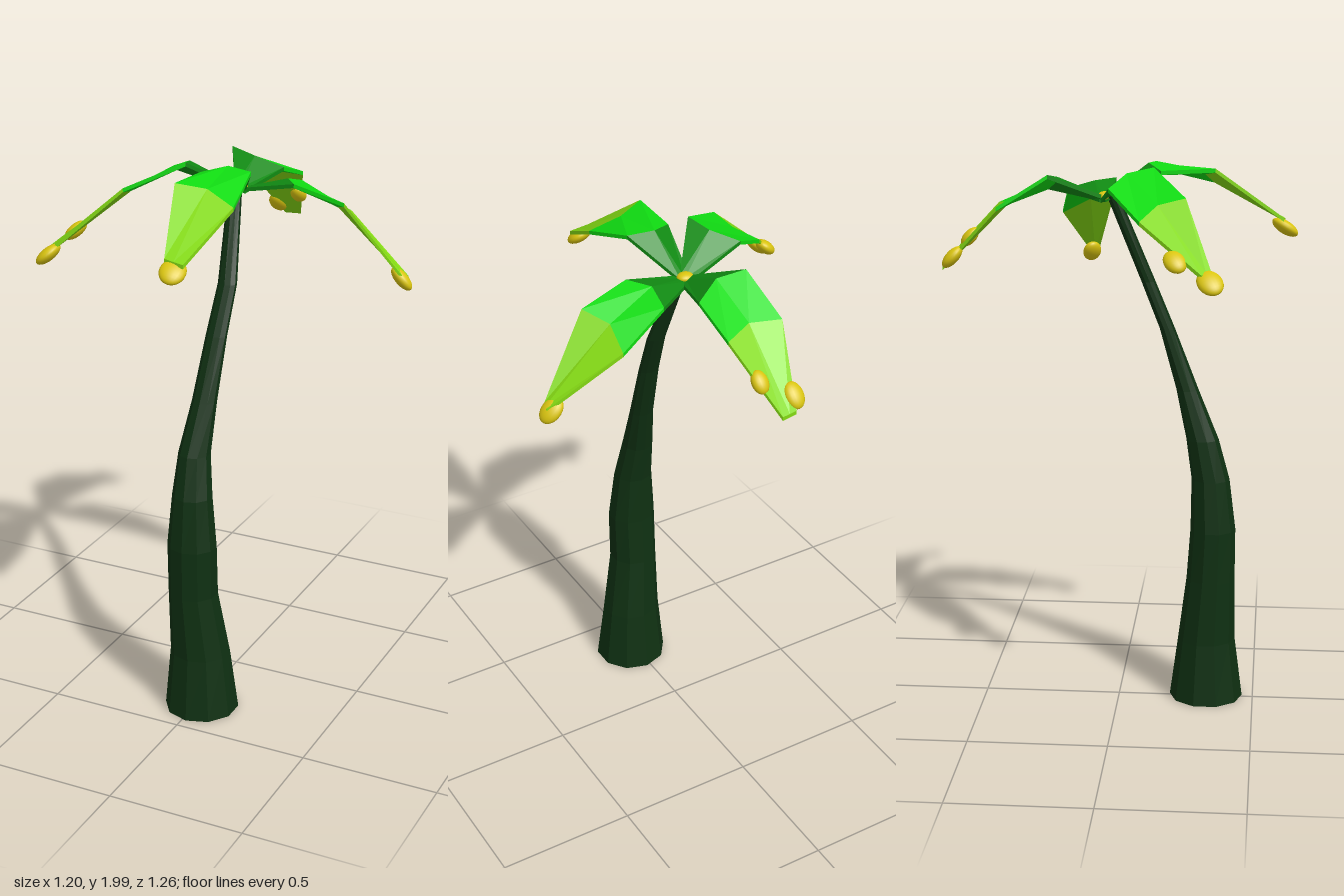
import * as THREE from 'three';

const paint = (name, color, flatShading = true) => {
  const m = new THREE.MeshStandardMaterial({ color, flatShading });
  m.name = name;
  return m;
};
const V = (a) => new THREE.Vector3(...a);
const HUB = V([-0.01, 1.87, -0.05]);

// Trunk rings from the ground up: y, x min, x max, z min, z max
const RINGS = [
  [0, -0.12, 0.15, 0.19, 0.46],
  [0.23, -0.1, 0.12, 0.22, 0.43],
  [0.47, -0.1, 0.08, 0.25, 0.427],
  [0.66, -0.1, 0.08, 0.263, 0.427],
  [0.85, -0.085, 0.06, 0.265, 0.403],
  [1.0, -0.075, 0.04, 0.245, 0.362],
  [1.18, -0.05, 0.04, 0.207, 0.287],
  [1.4, -0.033, 0.045, 0.145, 0.2],
  [1.57, -0.02, 0.05, 0.077, 0.128],
  [1.88, -0.04, 0.01, -0.045, 0.0],
];

// Each leaf: [left, right] edge points of two folds and the tip, looking out from the hub
const LEAVES = [
  { name: 'frontLeaf', rows: [
    [[0.113, 1.985, 0.123], [-0.063, 1.97, 0.15]],
    [[0.147, 1.92, 0.33], [-0.063, 1.98, 0.34]],
    [[0.09, 1.79, 0.585], [0.02, 1.8, 0.58]]] },
  { name: 'backLeaf', rows: [
    [[-0.13, 1.96, -0.24], [0.063, 1.9, -0.26]],
    [[-0.16, 1.85, -0.417], [0.06, 1.84, -0.437]],
    [[-0.09, 1.63, -0.62], [-0.03, 1.63, -0.63]]] },
  { name: 'leftLeaf', rows: [
    [[0.16, 1.88, -0.2], [0.205, 1.915, -0.027]],
    [[0.337, 1.78, -0.238], [0.384, 1.865, -0.046]],
    [[0.585, 1.6, -0.16], [0.573, 1.61, -0.125]]] },
  { name: 'rightLeaf', rows: [
    [[-0.13, 1.99, 0.13], [-0.25, 1.93, -0.017]],
    [[-0.31, 1.908, 0.25], [-0.407, 1.84, 0.1]],
    [[-0.533, 1.7, 0.345], [-0.565, 1.69, 0.315]]] },
];

// Fruits: leaf index, centre, half width, half length
const FRUITS = [
  [0, [0.053, 1.762, 0.585], 0.045, 0.052],
  [1, [-0.103, 1.665, -0.583], 0.035, 0.048],
  [1, [0.0, 1.722, -0.535], 0.03, 0.042],
  [2, [0.563, 1.588, -0.152], 0.036, 0.05],
  [3, [-0.56, 1.665, 0.343], 0.043, 0.052],
  [3, [-0.515, 1.725, 0.225], 0.037, 0.047],
];

// Six-point cross-section of a leaf: creased top, then the underside
function leafLoop(left, right, crease) {
  const mid = left.clone().add(right).multiplyScalar(0.5);
  const inward = HUB.clone().sub(mid).setY(0).normalize();
  mid.addScaledVector(inward, crease * 0.035);
  mid.y += crease * 0.012;
  const top = [left, mid, right];
  const under = [right, mid, left].map((p) => p.clone().add(V([0, -0.014, 0])));
  return [...top, ...under];
}

// Thin slab between two cross-sections, closed at the leaf's ends
function leafSection(a, b, capNear, capFar) {
  const pos = [];
  const tri = (...pts) => pts.forEach((p) => pos.push(p.x, p.y, p.z));
  for (let i = 0; i < 6; i++) {
    const j = (i + 1) % 6;
    tri(a[i], a[j], b[j]);
    tri(a[i], b[j], b[i]);
  }
  for (let i = 1; i < 5; i++) {
    if (capNear) tri(a[0], a[i + 1], a[i]);
    if (capFar) tri(b[0], b[i], b[i + 1]);
  }
  const g = new THREE.BufferGeometry();
  g.setAttribute('position', new THREE.Float32BufferAttribute(pos, 3));
  g.computeVertexNormals();
  return g;
}

function makeTrunk(material) {
  const sides = 10;
  const n = RINGS.length - 1;
  const g = new THREE.CylinderGeometry(1, 1, n, sides, n);
  const p = g.attributes.position;
  for (let i = 0; i < p.count; i++) {
    const [y, x0, x1, z0, z1] = RINGS[Math.round(p.getY(i) + n / 2)];
    p.setXYZ(i,
      (x0 + x1) / 2 + (p.getX(i) * (x1 - x0)) / 2, y,
      (z0 + z1) / 2 + (p.getZ(i) * (z1 - z0)) / 2);
  }
  g.computeVertexNormals();
  const trunk = new THREE.Mesh(g, material);
  trunk.name = 'trunk';
  return trunk;
}

export function createModel() {
  const trunkGreen = paint('trunk green', 0x0f3012);
  const bands = [
    paint('deep green', 0x118a13),
    paint('bright green', 0x10dc12),
    paint('lime green', 0x84da14),
  ];
  const fruitYellow = paint('fruit yellow', 0xdac510, false);

  const model = new THREE.Group();
  model.name = 'palmTree';
  model.add(makeTrunk(trunkGreen));

  // Leaves, one colour band per section
  const frames = LEAVES.map(({ name, rows }) => {
    const leaf = new THREE.Group();
    leaf.name = name;
    const edges = rows.map(([l, r]) => [V(l), V(r)]);
    const side = edges[0][1].clone().sub(edges[0][0]).normalize().multiplyScalar(0.02);
    const start = [HUB.clone().sub(side), HUB.clone().add(side)];
    const loops = [start, ...edges].map(([l, r], i) => leafLoop(l, r, i === 1 || i === 2 ? 1 : 0));
    bands.forEach((band, i) => {
      const mesh = new THREE.Mesh(leafSection(loops[i], loops[i + 1], i === 0, i === 2), band);
      mesh.name = ['leafBase', 'leafMiddle', 'leafTip'][i];
      leaf.add(mesh);
    });
    model.add(leaf);

    // Axes of the drooping tip, used to lay fruits along it
    const [, [l2, r2], [l3, r3]] = edges;
    const along = l3.clone().add(r3).sub(l2).sub(r2).normalize();
    const normal = r2.clone().sub(l2).cross(along).normalize();
    const across = along.clone().cross(normal);
    return new THREE.Matrix4().makeBasis(across, along, normal);
  });

  // Flattened fruits near the leaf tips
  const ball = new THREE.SphereGeometry(1, 20, 14);
  FRUITS.forEach(([leaf, centre, width, length]) => {
    const fruit = new THREE.Mesh(ball, fruitYellow);
    fruit.name = 'fruit';
    fruit.position.set(...centre);
    fruit.quaternion.setFromRotationMatrix(frames[leaf]);
    fruit.scale.set(width, length, 0.023);
    model.add(fruit);
  });

  // Small bud where the leaves meet
  const bud = new THREE.Mesh(ball, fruitYellow);
  bud.name = 'crownBud';
  bud.position.set(-0.01, 1.875, -0.05);
  bud.scale.set(0.03, 0.016, 0.026);
  model.add(bud);

  return model;
}
